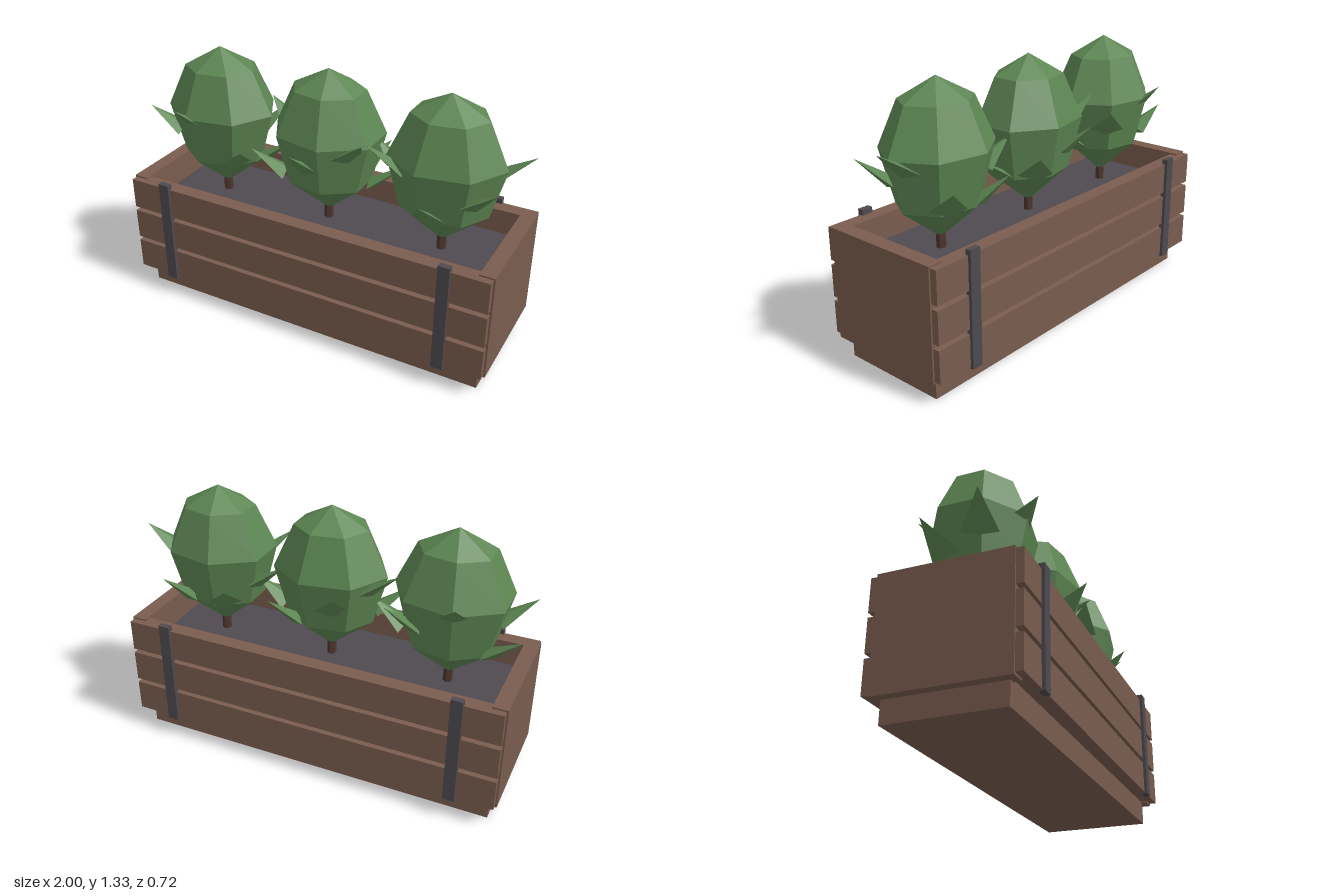
import * as THREE from 'three';

const mat = (name, color, flatShading = false) => {
  const m = new THREE.MeshStandardMaterial({ color, flatShading });
  m.name = name;
  return m;
};

export function createModel() {
  const wood = mat('wood', 0x795c4e);
  const dark = mat('darkMetalAndSoil', 0x4e4a50);
  const leaf = mat('leafGreen', 0x5d8653, true);
  const bark = mat('bark', 0x4c362d, true);

  const model = new THREE.Group();
  model.name = 'planterBox';
  const cx = -0.015; // centre of the crate; the leaf tips reach further right

  // Box given by its limits
  const box = (name, material, x0, x1, y0, y1, z0, z1) => {
    const mesh = new THREE.Mesh(new THREE.BoxGeometry(x1 - x0, y1 - y0, z1 - z0), material);
    mesh.position.set((x0 + x1) / 2, (y0 + y1) / 2, (z0 + z1) / 2);
    mesh.name = name;
    model.add(mesh);
  };

  // Crate: base, soil, end panels, side planks and straps
  box('base', wood, cx - 0.94, cx + 0.94, 0, 0.125, -0.277, 0.277);
  box('soil', dark, cx - 0.89, cx + 0.89, 0.125, 0.53, -0.26, 0.26);
  for (const s of [-1, 1]) {
    const ex = cx + s * 0.9475;
    box('endPanel', wood, ex - 0.0375, ex + 0.0375, 0.107, 0.658, -0.31, 0.31);
    const pz = s * 0.3075;
    for (let i = 0; i < 3; i++) {
      const y = 0.118 + i * 0.185;
      box('sidePlank', wood, cx - 0.977, cx + 0.977, y, y + 0.162, pz - 0.0375, pz + 0.0375);
    }
    for (const t of [-1, 1]) {
      const sx = cx + t * 0.764;
      box('strap', dark, sx - 0.029, sx + 0.029, 0.11, 0.677, s * 0.345 - 0.015, s * 0.345 + 0.015);
    }
  }

  // Faceted shrub body: seven sides, a little narrower in z
  const profile = [[0, 0.58], [0.219, 0.755], [0.289, 1.012], [0.187, 1.23], [0, 1.33]]
    .map(([r, y]) => new THREE.Vector2(r, y));
  const crownGeo = new THREE.LatheGeometry(profile, 7, Math.PI / 2);
  const trunkGeo = new THREE.CylinderGeometry(0.022, 0.024, 0.2, 6);

  // Flattened four-sided leaf along +y, wide in x
  const leafGeo = new THREE.ConeGeometry(0.085, 1, 4);
  leafGeo.translate(0, 0.5, 0).scale(1, 1, 0.35);

  for (let i = 0; i < 3; i++) {
    const shrub = new THREE.Group();
    shrub.name = 'shrub';
    shrub.position.x = cx + (i - 1) * 0.615;
    model.add(shrub);

    const crown = new THREE.Mesh(crownGeo, leaf);
    crown.name = 'crown';
    crown.scale.z = 0.85;
    crown.rotation.y = i === 1 ? Math.PI : 0;
    shrub.add(crown);

    const trunk = new THREE.Mesh(trunkGeo, bark);
    trunk.name = 'trunk';
    trunk.position.y = 0.6;
    shrub.add(trunk);

    // Leaf spikes ring the crown at three heights
    for (let k = 0; k < 7; k++) {
      const a = k * Math.PI * 2 / 7 + i;
      const c = Math.cos(a), s = -Math.sin(a);
      const h = 0.9 + 0.09 * (k % 3);
      const root = new THREE.Vector3(c * 0.235, h - 0.12, s * 0.18);
      const dir = new THREE.Vector3(c * 0.405, h, s * 0.307).sub(root);
      const length = dir.length();
      dir.normalize();
      const side = new THREE.Vector3(0, 1, 0).cross(dir).normalize();
      const up = new THREE.Vector3().crossVectors(side, dir);
      const spike = new THREE.Mesh(leafGeo, leaf);
      spike.name = 'leafSpike';
      spike.position.copy(root);
      spike.quaternion.setFromRotationMatrix(new THREE.Matrix4().makeBasis(side, dir, up));
      spike.scale.y = length;
      shrub.add(spike);
    }
  }
  return model;
}
